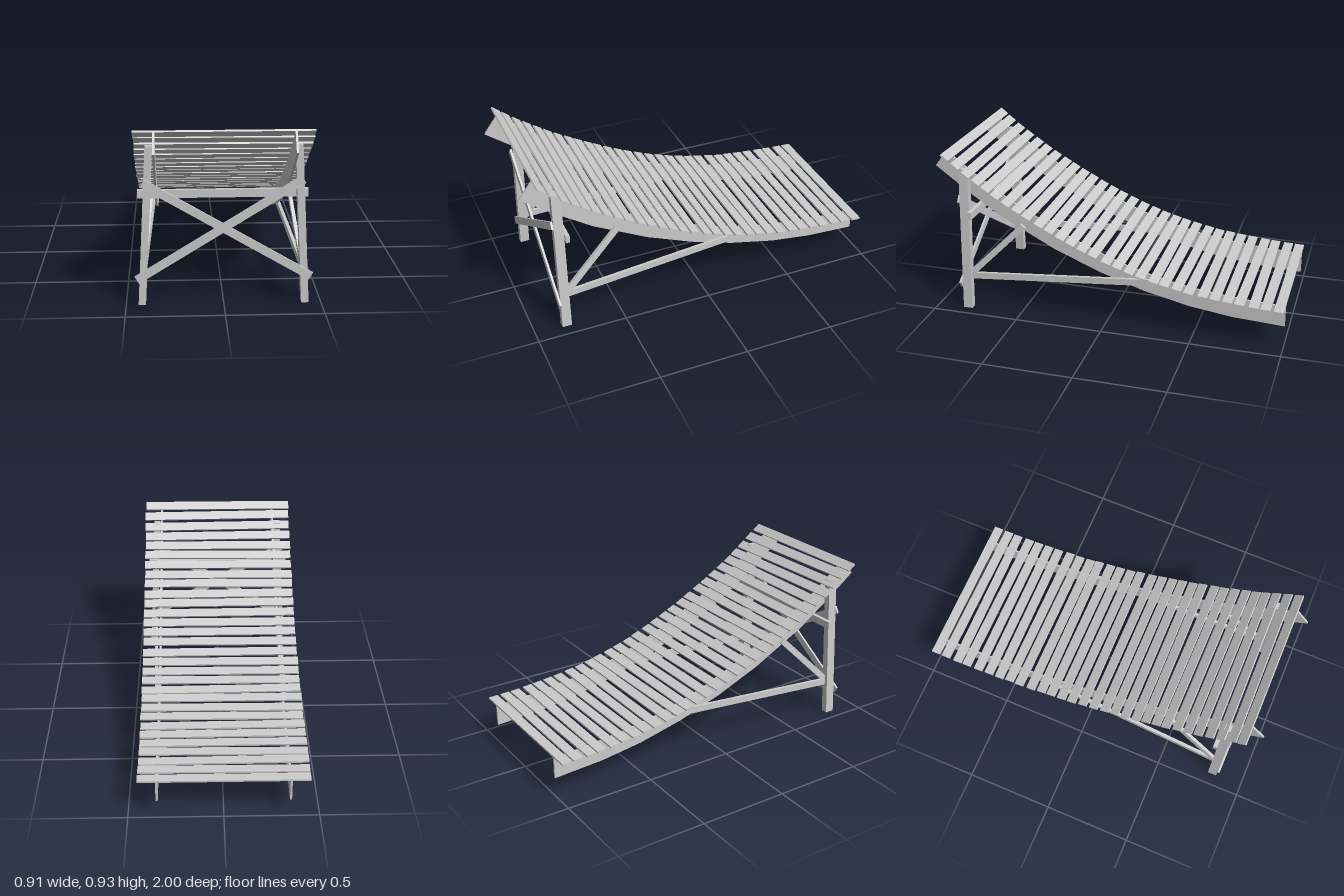
import * as THREE from 'three';

const material = new THREE.MeshStandardMaterial({ color: 0xcccccc, flatShading: true });
const V = (x, y, z) => new THREE.Vector3(x, y, z);

// Small seeded generator for the uneven slats, returns -1..1
function seeded(seed) {
  let s = seed;
  return () => {
    s = (s * 16807) % 2147483647;
    return (s / 2147483647) * 2 - 1;
  };
}

// Straight board from p to q; thickness is measured along the direction closest to `side`
function board(name, p, q, width, thickness, side) {
  const y = q.clone().sub(p);
  const length = y.length();
  y.normalize();
  const x = side.clone().addScaledVector(y, -side.dot(y)).normalize();
  const z = x.clone().cross(y);
  const mesh = new THREE.Mesh(new THREE.BoxGeometry(thickness, length, width), material);
  mesh.quaternion.setFromRotationMatrix(new THREE.Matrix4().makeBasis(x, y, z));
  mesh.position.copy(p).add(q).multiplyScalar(0.5);
  mesh.name = name;
  return mesh;
}

// Curves in the (z, y) plane, from the raised front end to the low back end
const toCurve = (pts) => new THREE.SplineCurve(pts.map(([z, y]) => new THREE.Vector2(z, y)));
const railTop = toCurve([
  [0.93, 0.923], [0.757, 0.792], [0.543, 0.654], [0.25, 0.498], [0, 0.39],
  [-0.205, 0.323], [-0.47, 0.265], [-0.78, 0.232], [-0.995, 0.222],
]);
const railBottom = toCurve([
  [1.0, 0.83], [0.81, 0.69], [0.62, 0.562], [0.31, 0.4], [0.05, 0.293],
  [-0.205, 0.21], [-0.47, 0.15], [-0.71, 0.118], [-0.995, 0.103],
]);

function makeRail(side) {
  const outline = [...railTop.getPoints(24), ...railBottom.getPoints(8).reverse()];
  const geo = new THREE.ExtrudeGeometry(new THREE.Shape(outline), { depth: 0.011, bevelEnabled: false });
  geo.translate(0, 0, -0.0055).rotateY(-Math.PI / 2);
  const rail = new THREE.Mesh(geo, material);
  rail.position.x = side * 0.347;
  rail.name = 'sideRail';
  return rail;
}

// Splayed leg with level ends
function makeLeg(side) {
  const height = 0.835;
  const geo = new THREE.BoxGeometry(0.038, height, 0.053);
  geo.translate(0, height / 2, 0);
  const pos = geo.attributes.position;
  for (let i = 0; i < pos.count; i++) {
    const t = pos.getY(i) / height;
    pos.setX(i, pos.getX(i) + side * THREE.MathUtils.lerp(0.418, 0.374, t));
  }
  geo.computeVertexNormals();
  const leg = new THREE.Mesh(geo, material);
  leg.position.z = 0.82;
  leg.name = 'leg';
  return leg;
}

// Slats laid along the rail tops, each slightly askew
function makeSlats() {
  const slats = new THREE.Group();
  slats.name = 'slats';
  const rand = seeded(41);
  const count = 30;
  const width = 0.054;
  const thickness = 0.01;
  const total = railTop.getLength();
  for (let i = 0; i < count; i++) {
    const end = i === 0 || i === count - 1;
    const along = width / 2 + (total - width) * (i / (count - 1)) + (end ? 0 : rand() * 0.005);
    const u = along / total;
    const c = railTop.getPointAt(u);
    const t = railTop.getTangentAt(u);
    const slat = new THREE.Mesh(new THREE.BoxGeometry(0.895, thickness, width), material);
    const xAxis = V(1, 0, 0);
    const zAxis = V(0, -t.y, -t.x).normalize();
    const yAxis = zAxis.clone().cross(xAxis);
    slat.quaternion.setFromRotationMatrix(new THREE.Matrix4().makeBasis(xAxis, yAxis, zAxis));
    if (!end) slat.rotateY(rand() * 0.011);
    slat.position.set(-0.002 + rand() * 0.002, c.y, c.x).addScaledVector(yAxis, thickness / 2 + 0.001);
    slat.name = 'slat';
    slats.add(slat);
  }
  return slats;
}

export function createModel() {
  const model = new THREE.Group();
  model.name = 'slattedLounger';
  const sideways = V(1, 0, 0);
  const forward = V(0, 0, 1);

  model.add(makeSlats());

  for (const s of [-1, 1]) {
    model.add(makeRail(s), makeLeg(s));
    // Struts from the leg up to the outer face of the rail
    model.add(board('shortStrut', V(s * 0.4, 0.208, 0.8), V(s * 0.362, 0.522, 0.488), 0.035, 0.018, sideways));
    model.add(board('longStrut', V(s * 0.4, 0.196, 0.8), V(s * 0.362, 0.272, -0.27), 0.037, 0.018, sideways));
  }

  // Crossed braces on the front of the legs
  model.add(board('crossBrace', V(-0.443, 0.139, 0.853), V(0.398, 0.66, 0.853), 0.043, 0.012, forward));
  model.add(board('crossBrace', V(0.443, 0.147, 0.8525), V(-0.408, 0.648, 0.8525), 0.043, 0.012, forward));

  // Level bar behind the legs
  model.add(board('crossBar', V(-0.435, 0.574, 0.782), V(0.43, 0.574, 0.782), 0.042, 0.023, forward));

  return model;
}
